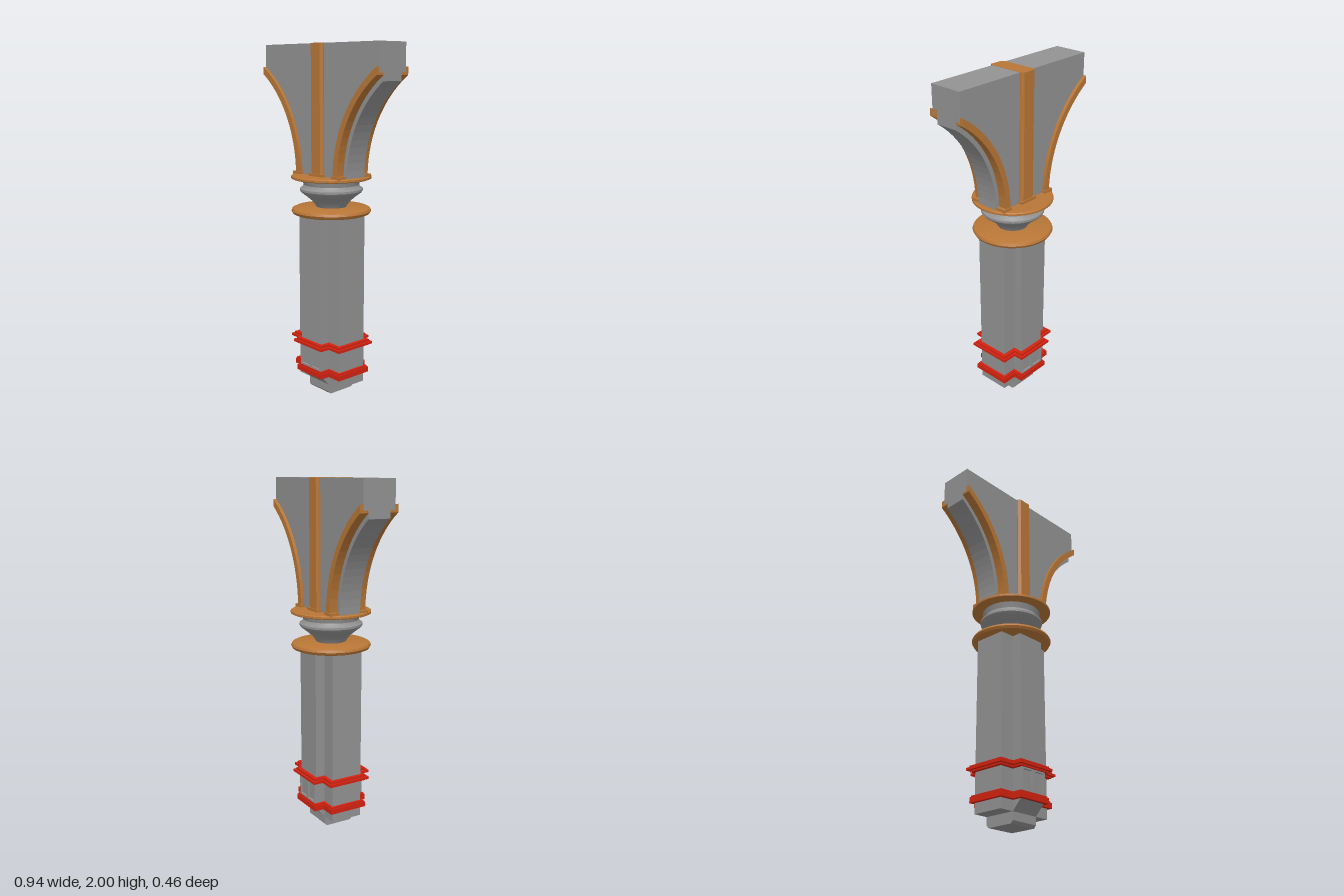
import * as THREE from 'three';
import { toCreasedNormals } from 'three/addons/utils/BufferGeometryUtils.js';

const stone = new THREE.MeshStandardMaterial({ color: 0x929292 });
stone.name = 'grey stone';
const bronze = new THREE.MeshStandardMaterial({ color: 0xb87636 });
bronze.name = 'bronze trim';
const red = new THREE.MeshStandardMaterial({ color: 0xd42210 });
red.name = 'red banding';

export function createModel() {
  const root = new THREE.Group();
  root.name = 'bracketColumn';

  const add = (name, geometry, material) => {
    const mesh = new THREE.Mesh(geometry, material);
    mesh.name = name;
    root.add(mesh);
    return mesh;
  };
  // Box given by its limits
  const box = (name, material, x0, x1, y0, y1, z0, z1) =>
    add(name, new THREE.BoxGeometry(x1 - x0, y1 - y0, z1 - z0), material)
      .position.set((x0 + x1) / 2, (y0 + y1) / 2, (z0 + z1) / 2);
  const shapeOf = (pts) => new THREE.Shape(pts.map(([x, y]) => new THREE.Vector2(x, y)));
  const extrude = (pts, depth) =>
    new THREE.ExtrudeGeometry(shapeOf(pts), { depth, bevelEnabled: false });
  // Plan outline raised from y0 to y1
  const prism = (pts, y0, y1) => extrude(pts, y1 - y0).rotateX(-Math.PI / 2).translate(0, y0, 0);
  // Front outline extruded from z0 to z1
  const slab = (pts, z0, z1) => extrude(pts, z1 - z0).translate(0, 0, z0);
  const lathe = (pts) => toCreasedNormals(
    new THREE.LatheGeometry(pts.map(([r, y]) => new THREE.Vector2(r, y)), 48), 0.6);

  // Shaft: two crossing arms, the front-to-back one tapering into the foot
  const AX = 0.175, AZ = 0.152, BX = 0.087, BZ = 0.095;
  box('shaftSideArms', stone, -AX, AX, 0.06, 1.06, -BZ, BZ);
  const half = [[0.08, 0], [BZ, 0.015], [BZ, 0.06], [AZ, 0.12], [AZ, 1.06]];
  const profile = [...half, ...half.map(([z, y]) => [-z, y]).reverse()];
  add('shaftFrontArms', extrude(profile, 2 * BX).translate(0, 0, -BX).rotateY(Math.PI / 2), stone);

  // Red bands follow the cross-shaped plan
  const cross = (o) => {
    const a = AX + o, b = AZ + o, c = BX + o, d = BZ + o;
    return [[a, -d], [a, d], [c, d], [c, b], [-c, b], [-c, d],
      [-a, d], [-a, -d], [-c, -d], [-c, -b], [c, -b], [c, -d]];
  };
  [[0.118, 0.148, 0.02], [0.148, 0.157, 0.014]].forEach(([y0, y1, o]) =>
    add('lowerBand', prism(cross(o), y0, y1), red));
  [[0.283, 0.292, 0.02], [0.292, 0.306, 0.035], [0.306, 0.318, 0.022]].forEach(([y0, y1, o]) =>
    add('upperBand', prism(cross(o), y0, y1), red));

  // Framed panels between the bands
  for (const s of [1, -1]) {
    const z0 = Math.min(s * 0.15, s * 0.162), z1 = Math.max(s * 0.15, s * 0.162);
    for (const [x0, x1] of [[-BX, -0.077], [-0.011, 0.011], [0.077, BX]])
      box('panelStile', stone, x0, x1, 0.155, 0.285, z0, z1);
    box('panelRail', stone, -BX, BX, 0.155, 0.167, z0, z1);
    box('panelRail', stone, -BX, BX, 0.273, 0.285, z0, z1);
  }

  // Round collars and the neck between them
  add('lowerCollar', lathe([[0, 1.05], [0.205, 1.05], [0.22, 1.056], [0.228, 1.07],
    [0.222, 1.083], [0.205, 1.091], [0, 1.093]]), bronze);
  add('neck', lathe([[0.082, 1.085], [0.09, 1.1], [0.108, 1.125], [0.14, 1.152], [0.172, 1.176],
    [0.179, 1.186], [0.179, 1.198], [0.166, 1.205], [0.158, 1.22], [0.163, 1.24], [0.168, 1.258]]), stone);
  add('upperCollar', lathe([[0, 1.253], [0.22, 1.253], [0.228, 1.257], [0.228, 1.268],
    [0.222, 1.273], [0, 1.273]]), bronze);

  // Concentric arcs under the bracket, cut off at its outer end
  const CX = 0.855, CY = 1.27, END = 0.47, SEGS = 14;
  const arc = (r, s) => {
    const end = Math.acos((CX - END) / r);
    return Array.from({ length: SEGS + 1 }, (_, i) => {
      const t = end * i / SEGS;
      return [s * (CX - r * Math.cos(t)), CY + r * Math.sin(t)];
    });
  };
  const band = (r0, r1, s) => [...arc(r0, s), ...arc(r1, s).reverse()];

  // Bracket body
  add('bracketBody', slab([...arc(0.69, 1), [END, 1.999], [-END, 1.999],
    ...arc(0.69, -1).reverse()], -0.097, 0.097), stone);

  for (const s of [1, -1]) {
    // Soffit between the ribs
    add('archSoffit', slab(band(0.655, 0.695, s), -0.066, 0.066), stone);
    for (const f of [1, -1]) {
      const [z0, z1] = f > 0 ? [0.065, 0.116] : [-0.116, -0.065];
      add('archRib', slab(band(0.68, 0.715, s), z0, z1), bronze);
      const [x0, x1] = s > 0 ? [0.134, 0.196] : [-0.196, -0.134];
      const [w0, w1] = f > 0 ? [0.06, 0.122] : [-0.122, -0.06];
      box('ribFoot', bronze, x0, x1, 1.268, 1.288, w0, w1);
    }
  }

  // Central pilaster with chamfered edges, and its foot
  add('pilaster', prism([[0.05, -0.103], [0.05, 0.103], [0.037, 0.117], [-0.037, 0.117],
    [-0.05, 0.103], [-0.05, -0.103], [-0.037, -0.117], [0.037, -0.117]], 1.27, 2), bronze);
  box('pilasterFoot', bronze, -0.057, 0.057, 1.268, 1.288, -0.123, 0.123);

  return root;
}
